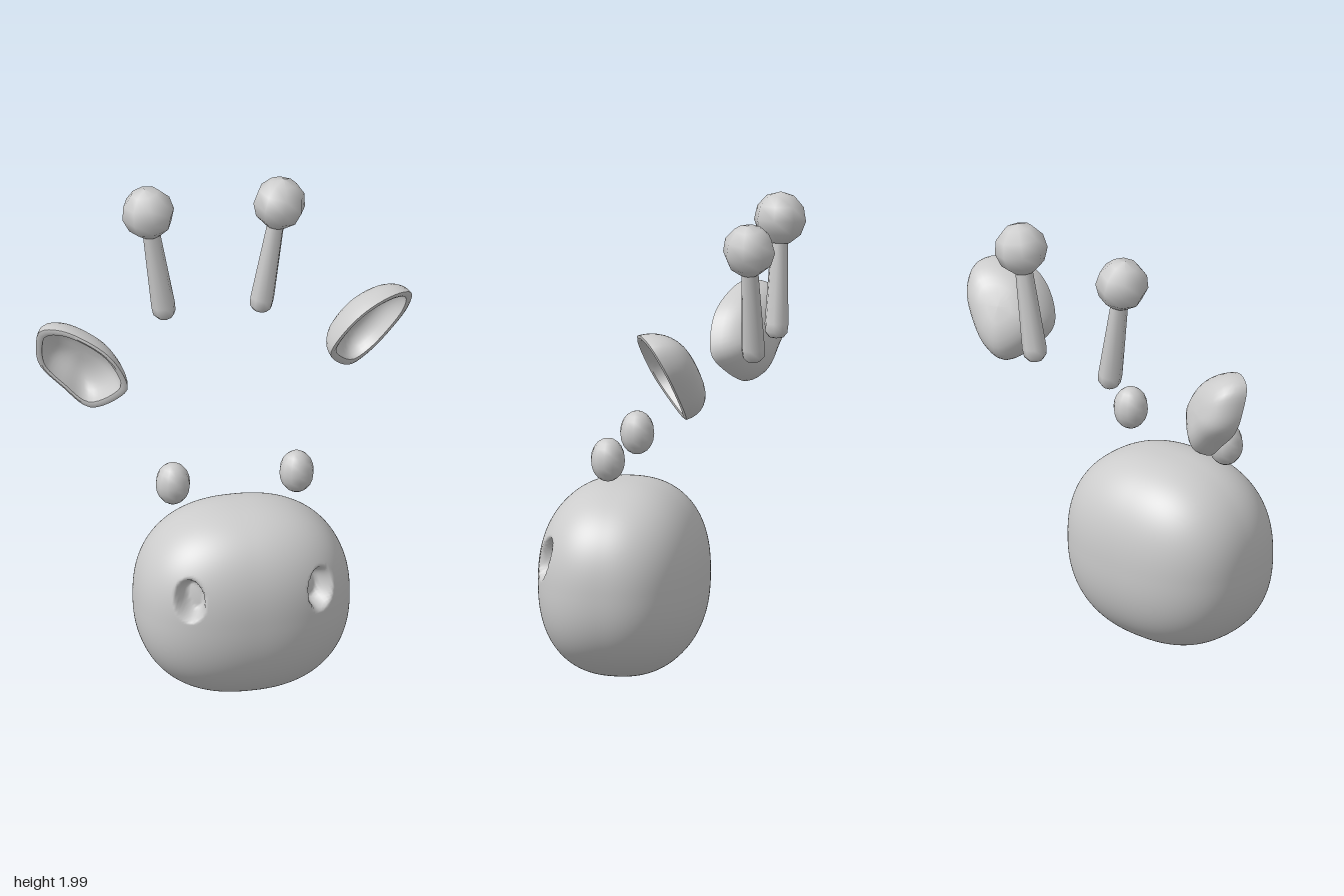
import * as THREE from 'three';
import { mergeVertices, toCreasedNormals } from 'three/addons/utils/BufferGeometryUtils.js';

const material = new THREE.MeshStandardMaterial({ color: 0xcccccc });

function addMesh(parent, name, geometry) {
  const mesh = new THREE.Mesh(geometry, material);
  mesh.name = name;
  parent.add(mesh);
  return mesh;
}

// Rounded block (superellipsoid) with two oval nostrils pressed into the front
function muzzleGeometry() {
  const n = 60, power = 2.35;
  const half = new THREE.Vector3(0.445, 0.405, 0.34);
  const centre = new THREE.Vector3(-0.01, 0.412, 0.18);
  let geo = new THREE.BoxGeometry(2, 2, 2, n, n, n);
  geo.deleteAttribute('uv');
  geo.deleteAttribute('normal');
  geo = mergeVertices(geo);
  const pos = geo.attributes.position;
  const v = new THREE.Vector3();
  for (let i = 0; i < pos.count; i++) {
    v.fromBufferAttribute(pos, i);
    v.set(...v.toArray().map((c) => Math.tan(c * Math.PI / 4)));
    const length = v.toArray().reduce((sum, c) => sum + Math.abs(c) ** power, 0) ** (1 / power);
    v.divideScalar(length).multiply(half).add(centre);
    if (v.z > centre.z) {
      for (const x of [-0.285, 0.265]) {
        const d = Math.hypot((v.x - x) / 0.057, (v.y - 0.53) / 0.09);
        const dent = 0.075 * (1 - THREE.MathUtils.smoothstep(d, 0.55, 1.05));
        v.x -= Math.sign(x) * dent * 0.5;
        v.z -= dent * 0.87;
      }
    }
    pos.setXYZ(i, v.x, v.y, v.z);
  }
  geo.computeVertexNormals();
  return geo;
}

// Tapered stalk with a rounded foot and an eight-sided ball, as one profile
function hornGeometry(height) {
  const profile = [[0, 0], [0.03, 0.005], [0.047, 0.025], [0.05, 0.06], [0.036, height - 0.095]];
  const r = 0.11;
  for (let k = 1; k <= 6; k++) {
    const a = -Math.PI / 2 + 0.4 + (k - 1) / 5 * (Math.PI - 0.4);
    profile.push([Math.max(0, r * Math.cos(a)), height + r * Math.sin(a)]);
  }
  return new THREE.LatheGeometry(profile.map(([x, y]) => new THREE.Vector2(x, y)), 8);
}

// Cupped shell: outline lies on a tilted plane, rings shrink towards the back
function earGeometry(outline, centre, slopeX, slopeY, bulge) {
  const sides = 44, steps = 9, positions = [], index = [];
  const curve = new THREE.CatmullRomCurve3(
    outline.map(([x, y]) => {
      const dx = x - centre.x, dy = y - centre.y;
      return new THREE.Vector3(dx, dy, slopeX * dx + slopeY * dy);
    }), true, 'centripetal');
  const rim = curve.getSpacedPoints(sides).slice(0, sides);

  // Each ring is [scale, depth]: inner bowl from its floor, then rim, then outer bowl
  const rings = [];
  const ring = (a, size, depth) => rings.push([size * Math.cos(a) ** 0.7, depth * Math.sin(a)]);
  for (let k = steps; k >= 0; k--) ring(k / steps * Math.PI / 2 * 0.9999, 0.86, 0.82);
  rings.push([0.93, -0.04]);
  for (let k = 0; k <= steps; k++) ring(k / steps * Math.PI / 2 * 0.9999, 1, 1);

  for (const [scale, depth] of rings) {
    for (const p of rim) {
      const q = p.clone().multiplyScalar(scale).addScaledVector(bulge, depth).add(centre);
      positions.push(q.x, q.y, q.z);
    }
  }
  for (let i = 0; i < rings.length - 1; i++) {
    for (let j = 0; j < sides; j++) {
      const k = (j + 1) % sides;
      const a = i * sides + j, b = (i + 1) * sides + j;
      const c = (i + 1) * sides + k, d = i * sides + k;
      index.push(a, b, c, a, c, d);
    }
  }
  const geo = new THREE.BufferGeometry();
  geo.setAttribute('position', new THREE.Float32BufferAttribute(positions, 3));
  geo.setIndex(index);
  return toCreasedNormals(geo, 0.9);
}

export function createModel() {
  const model = new THREE.Group();
  model.name = 'animalFaceParts';

  addMesh(model, 'muzzle', muzzleGeometry());

  // Eyes
  for (const [name, x] of [['rightEye', -0.3], ['leftEye', 0.22]]) {
    const eye = addMesh(model, name, new THREE.SphereGeometry(1, 12, 10));
    eye.scale.set(0.072, 0.091, 0.072);
    eye.position.set(x, 0.95, 0.195);
  }

  // Horns, leaning outwards
  const horns = [
    ['rightHorn', -0.197, 1.4, -0.27, 1.89],
    ['leftHorn', 0.2, 1.39, 0.283, 1.875],
  ];
  for (const [name, x0, y0, x1, y1] of horns) {
    const horn = addMesh(model, name, hornGeometry(Math.hypot(x1 - x0, y1 - y0)));
    horn.position.set(x0, y0, -0.415);
    horn.rotation.z = -Math.atan2(x1 - x0, y1 - y0);
  }

  // Ears, each with its own tilt
  addMesh(model, 'rightEar', earGeometry(
    [[-0.56, 1.13], [-0.435, 1.235], [-0.43, 1.28], [-0.5, 1.41], [-0.6, 1.485],
      [-0.7, 1.52], [-0.77, 1.5], [-0.78, 1.42], [-0.76, 1.32], [-0.67, 1.22]],
    new THREE.Vector3(-0.61, 1.33, -0.17), 0.58, 0.33, new THREE.Vector3(0.04, 0.03, -0.135)));
  addMesh(model, 'leftEar', earGeometry(
    [[0.54, 1.21], [0.62, 1.25], [0.7, 1.34], [0.77, 1.46], [0.775, 1.55], [0.73, 1.58],
      [0.65, 1.58], [0.55, 1.54], [0.47, 1.46], [0.42, 1.36], [0.43, 1.31]],
    new THREE.Vector3(0.6, 1.42, -0.11), -0.55, 0.62, new THREE.Vector3(-0.04, 0.04, -0.135)));

  return model;
}
